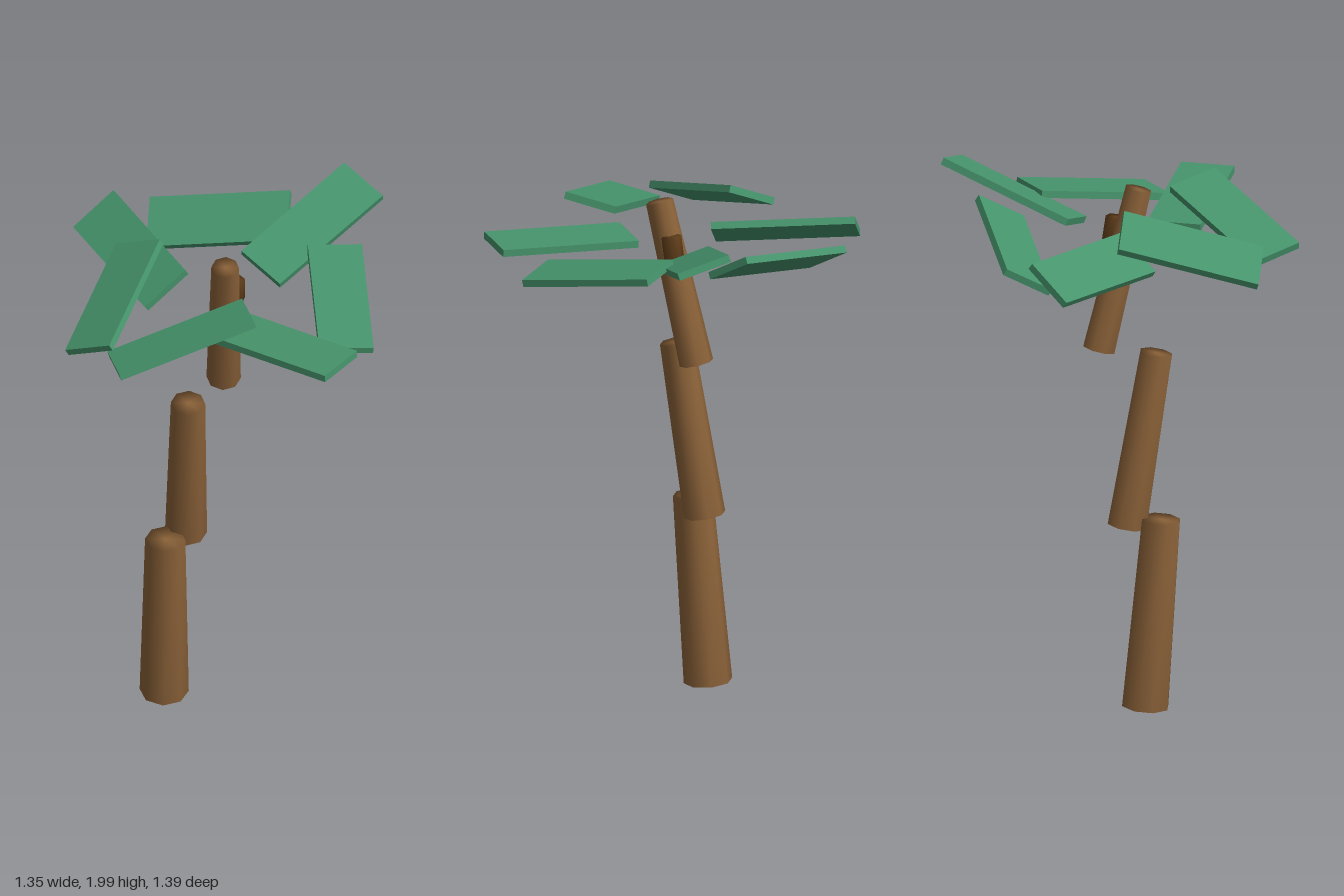
import * as THREE from 'three';
import { mergeVertices } from 'three/addons/utils/BufferGeometryUtils.js';

const bark = new THREE.MeshStandardMaterial({ color: 0x8b6239 });
const nut = new THREE.MeshStandardMaterial({ color: 0x5f3d1a });
const leaf = new THREE.MeshStandardMaterial({ color: 0x46946c });

// Tapered log between two points, with soft normals running over the caps
function log(name, from, to, r0, r1, sides, material) {
  const a = new THREE.Vector3(...from);
  const b = new THREE.Vector3(...to);
  const dir = b.clone().sub(a);
  let geo = new THREE.CylinderGeometry(r1, r0, dir.length(), sides);
  geo.deleteAttribute('normal');
  geo.deleteAttribute('uv');
  geo = mergeVertices(geo);
  geo.computeVertexNormals();
  const mesh = new THREE.Mesh(geo, material);
  mesh.name = name;
  mesh.position.copy(a).add(b).multiplyScalar(0.5);
  mesh.quaternion.setFromUnitVectors(new THREE.Vector3(0, 1, 0), dir.normalize());
  return mesh;
}

export function createModel() {
  const tree = new THREE.Group();
  tree.name = 'palmTree';

  // Three offset trunk pieces, each leaning and tapering
  tree.add(
    log('lowerTrunk', [-0.19, 0.007, -0.14], [-0.23, 0.725, -0.09], 0.09, 0.074, 8, bark),
    log('middleTrunk', [-0.105, 0.69, -0.115], [-0.178, 1.345, -0.023], 0.077, 0.063, 8, bark),
    log('upperTrunk', [0.034, 1.34, -0.064], [-0.067, 1.94, 0.057], 0.063, 0.051, 8, bark)
  );

  // Small coconut on the upper trunk
  tree.add(log('coconut', [0.02, 1.74, 0.015], [0.01, 1.83, 0.025], 0.037, 0.037, 6, nut));

  // Ring of seven plank-like fronds, all with the same roll and tilt
  const heights = [1.875, 1.795, 1.795, 1.84, 1.837, 1.79, 1.8];
  const frondGeo = new THREE.BoxGeometry(0.53, 0.027, 0.2);
  heights.forEach((y, i) => {
    const angle = (i / heights.length) * Math.PI * 2;
    const frond = new THREE.Mesh(frondGeo, leaf);
    frond.name = `frond${i + 1}`;
    frond.position.set(0.425 * Math.cos(angle) - 0.013, y, 0.425 * Math.sin(angle));
    frond.rotation.set(0.3, angle, 0.3, 'ZYX');
    tree.add(frond);
  });

  return tree;
}
